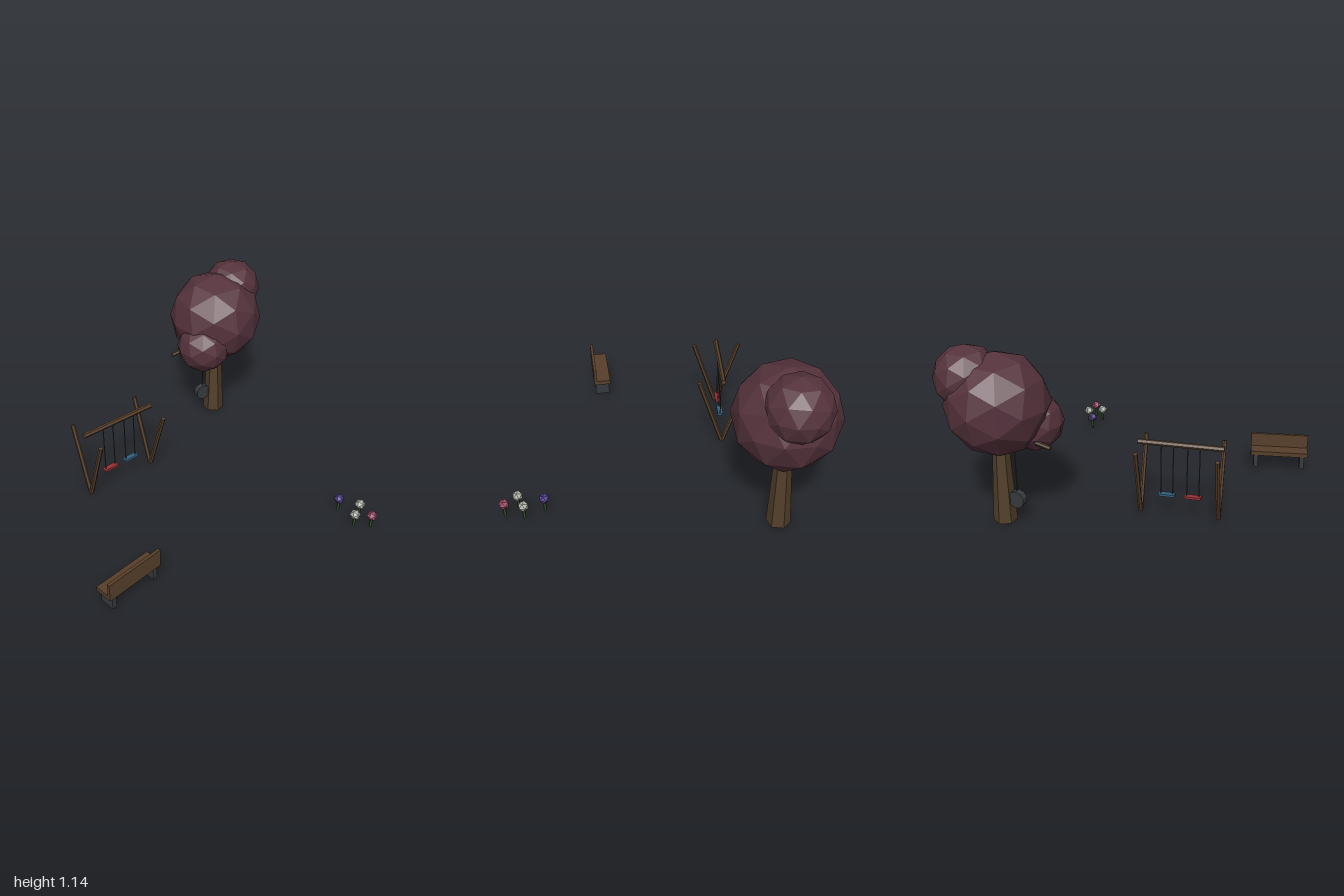
import * as THREE from 'three';

const mat = (name, color) => {
  const m = new THREE.MeshStandardMaterial({ color, flatShading: true });
  m.name = name;
  return m;
};

export function createModel() {
  const M = {
    foliage: mat('plum foliage', 0x55323c),
    bark: mat('bark', 0x523f2a),
    timber: mat('timber', 0x573f2a),
    charcoal: mat('charcoal', 0x363a3e),
    red: mat('red seat', 0x9a3236),
    blue: mat('blue seat', 0x33607f),
    white: mat('white petals', 0xb4b8ac),
    pink: mat('pink petals', 0xa04c68),
    purple: mat('purple petals', 0x54408c),
    stem: mat('stem green', 0x36522c),
  };
  const root = new THREE.Group();
  root.name = 'playground';

  const group = (name, x, z, angle = 0) => {
    const g = new THREE.Group();
    g.name = name;
    g.position.set(x, 0, z);
    g.rotation.y = angle;
    root.add(g);
    return g;
  };
  const add = (parent, name, geo, material, x, y, z) => {
    const m = new THREE.Mesh(geo, material);
    m.name = name;
    m.position.set(x, y, z);
    parent.add(m);
    return m;
  };
  // round bar running between two points
  const bar = (parent, name, a, b, r, sides, material) => {
    const p = new THREE.Vector3(...a), q = new THREE.Vector3(...b);
    const d = q.clone().sub(p);
    const m = add(parent, name, new THREE.CylinderGeometry(r, r, d.length(), sides), material,
      ...p.add(q).multiplyScalar(0.5).toArray());
    m.quaternion.setFromUnitVectors(new THREE.Vector3(0, 1, 0), d.normalize());
    return m;
  };
  const box = (w, h, d) => new THREE.BoxGeometry(w, h, d);

  // Tree with three foliage clumps, a side branch and a hanging tire
  const tree = group('tree', 0.597, -0.68);
  add(tree, 'trunk', new THREE.CylinderGeometry(0.046, 0.075, 0.6, 6), M.bark, 0, 0.3, 0);
  add(tree, 'mainFoliage', new THREE.IcosahedronGeometry(0.32, 1), M.foliage, 0, 0.785, 0);
  add(tree, 'upperFoliage', new THREE.IcosahedronGeometry(0.2, 1), M.foliage, 0.16, 0.945, -0.06);
  add(tree, 'lowerFoliage', new THREE.IcosahedronGeometry(0.184, 1), M.foliage, -0.163, 0.648, 0.13);
  bar(tree, 'branch', [0, 0.62, 0], [-0.347, 0.555, 0], 0.014, 6, M.bark);
  bar(tree, 'tireRope', [-0.097, 0.2, 0], [-0.097, 0.6, 0], 0.0035, 5, M.charcoal);
  const tire = add(tree, 'tire', new THREE.CylinderGeometry(0.056, 0.056, 0.045, 10), M.charcoal, -0.097, 0.165, 0);
  tire.rotation.x = Math.PI / 2;

  // Swing frame: V-shaped leg pairs under a top beam
  const swing = group('swingSet', -0.385, -0.215, 0.2);
  bar(swing, 'topBeam', [-0.267, 0.5, 0], [0.267, 0.5, 0], 0.017, 6, M.timber);
  for (const x of [-0.247, 0.247])
    for (const s of [-1, 1])
      bar(swing, 'frameLeg', [x, 0.024, s * 0.004], [x, 0.487, s * 0.157], 0.015, 6, M.timber);
  // Two hanging seats
  for (const [x, m, name] of [[-0.082, M.red, 'redSeat'], [0.082, M.blue, 'blueSeat']]) {
    add(swing, name, box(0.105, 0.015, 0.037), m, x, 0.152, 0);
    for (const s of [-1, 1])
      bar(swing, 'swingRope', [x + s * 0.038, 0.155, 0], [x + s * 0.038, 0.49, 0], 0.0035, 5, M.charcoal);
  }

  // Bench facing away from the front
  const bench = group('bench', -0.76, 0.718, 0.298);
  add(bench, 'benchSeat', box(0.39, 0.03, 0.116), M.timber, 0, 0.125, 0);
  add(bench, 'benchBack', box(0.39, 0.122, 0.02), M.timber, 0, 0.172, 0.049);
  for (const s of [-1, 1])
    add(bench, 'benchLeg', box(0.03, 0.09, 0.098), M.charcoal, s * 0.158, 0.065, 0);

  // Flower patch
  const flowers = [
    [0.717, 0.74, M.purple], [0.802, 0.845, M.white],
    [0.715, 0.908, M.white], [0.801, 0.967, M.pink],
  ];
  for (const [x, z, petals] of flowers) {
    const f = group('flower', x, z);
    add(f, 'flowerStem', new THREE.CylinderGeometry(0.01, 0.01, 0.07, 5), M.stem, 0, 0.055, 0);
    add(f, 'flowerHead', new THREE.IcosahedronGeometry(0.034, 0), petals, 0, 0.11, 0);
  }
  return root;
}
